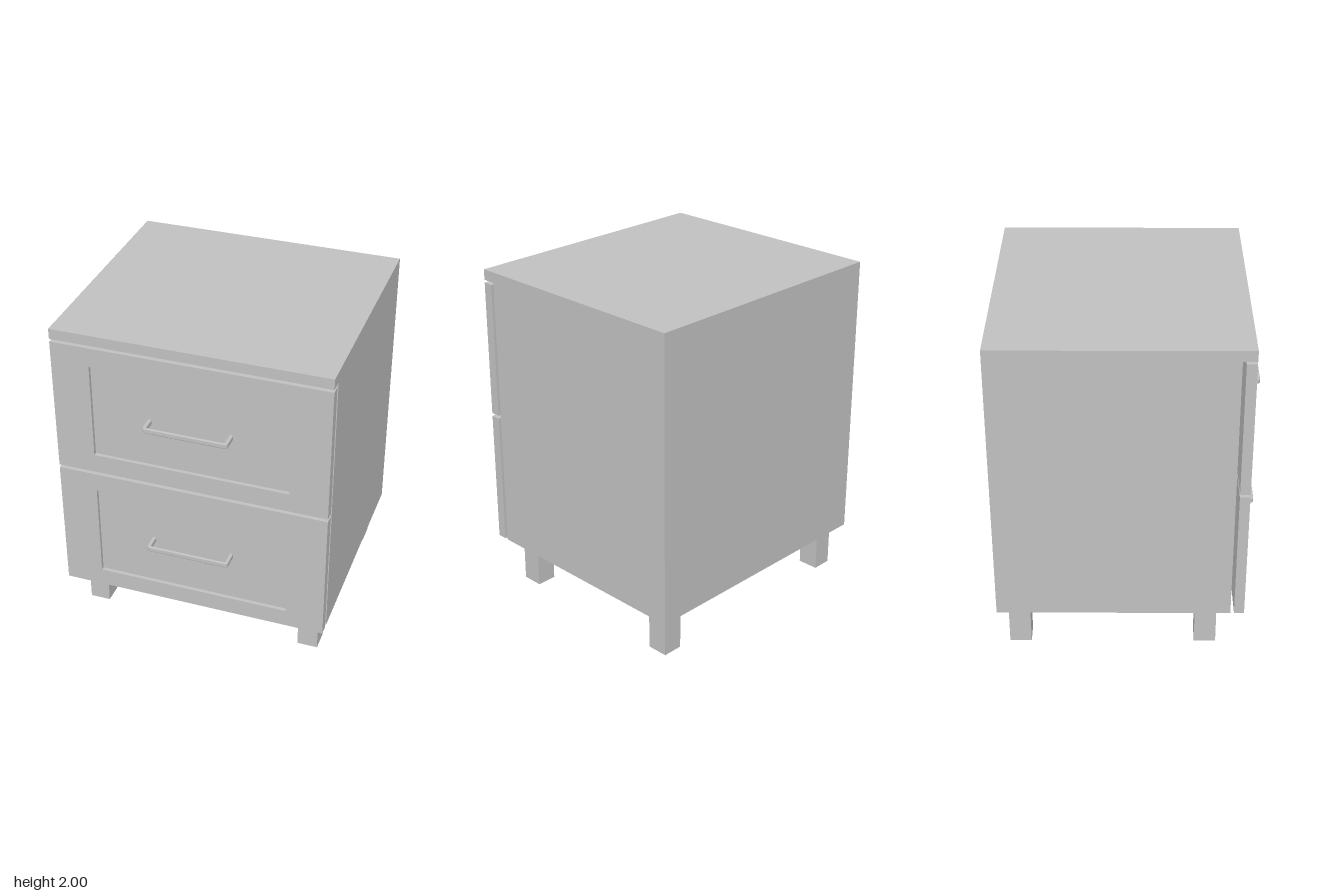
import * as THREE from 'three';

const W = 1.614, FRONT = 0.686, BACK = -0.762;

function rect(target, x0, y0, x1, y1) {
  target.moveTo(x0, y0);
  target.lineTo(x1, y0);
  target.lineTo(x1, y1);
  target.lineTo(x0, y1);
  target.closePath();
  return target;
}

export function createModel() {
  const model = new THREE.Group();
  const paint = new THREE.MeshStandardMaterial({ color: 0xc0c0c0 });
  paint.name = 'greyPaint';

  const add = (name, geometry, parent, x = 0, y = 0, z = 0) => {
    const mesh = new THREE.Mesh(geometry, paint);
    mesh.name = name;
    mesh.position.set(x, y, z);
    parent.add(mesh);
    return mesh;
  };

  // Cabinet with overhanging top: side profile (z, y) extruded across the width
  const profile = new THREE.Shape([
    [BACK, 0.265], [0.606, 0.265], [0.606, 1.937],
    [FRONT, 1.937], [FRONT, 2], [BACK, 2],
  ].map(([z, y]) => new THREE.Vector2(z, y)));
  const cabinet = new THREE.ExtrudeGeometry(profile, { depth: W, bevelEnabled: false });
  cabinet.translate(0, 0, -W / 2).rotateY(-Math.PI / 2);
  add('cabinet', cabinet, model);

  // U-shaped pull: outline in plan, extruded upwards with rounded edges
  const b = 0.005, a = 0.249 - b, zOut = 0.076 - b, zIn = -0.024;
  const pull = new THREE.Shape();
  pull.moveTo(-a, zIn);
  pull.lineTo(-a, zOut - 0.015);
  pull.quadraticCurveTo(-a, zOut, -a + 0.015, zOut);
  pull.lineTo(a - 0.015, zOut);
  pull.quadraticCurveTo(a, zOut, a, zOut - 0.015);
  pull.lineTo(a, zIn);
  pull.lineTo(a - 0.012, zIn);
  pull.lineTo(a - 0.012, zOut - 0.014);
  pull.quadraticCurveTo(a - 0.012, zOut - 0.006, a - 0.02, zOut - 0.006);
  pull.lineTo(-a + 0.02, zOut - 0.006);
  pull.quadraticCurveTo(-a + 0.012, zOut - 0.006, -a + 0.012, zOut - 0.014);
  pull.lineTo(-a + 0.012, zIn);
  pull.closePath();
  const pullGeometry = new THREE.ExtrudeGeometry(pull, {
    depth: 0.018, bevelSize: b, bevelThickness: 0.007, bevelSegments: 3, curveSegments: 6,
  });
  pullGeometry.translate(0, 0, -0.009).rotateX(Math.PI / 2);

  // Drawer fronts: raised frame, recessed panel and pull
  const recess = 0.022, thick = 0.059;
  const drawers = [
    ['lowerDrawer', 0.265, 1.081, 0.374, 0.968, 0.679],
    ['upperDrawer', 1.1, 1.92, 1.217, 1.805, 1.504],
  ];
  for (const [name, y0, y1, p0, p1, pullY] of drawers) {
    const drawer = new THREE.Group();
    drawer.name = name;
    model.add(drawer);
    const frame = rect(new THREE.Shape(), -W / 2, y0, W / 2, y1);
    frame.holes.push(rect(new THREE.Path(), -0.58, p0, 0.58, p1));
    add('drawerFrame', new THREE.ExtrudeGeometry(frame, { depth: thick, bevelEnabled: false }),
      drawer, 0, 0, FRONT - thick);
    add('recessedPanel', new THREE.BoxGeometry(1.16, p1 - p0, thick - recess),
      drawer, 0, (p0 + p1) / 2, FRONT - (thick + recess) / 2);
    add('handle', pullGeometry, drawer, 0, pullY, FRONT);
  }

  // Square legs
  const legGeometry = new THREE.BoxGeometry(0.123, 0.265, 0.128);
  for (const x of [-0.678, 0.678]) {
    add('frontLeg', legGeometry, model, x, 0.1325, 0.465);
    add('backLeg', legGeometry, model, x, 0.1325, -0.634);
  }
  return model;
}
